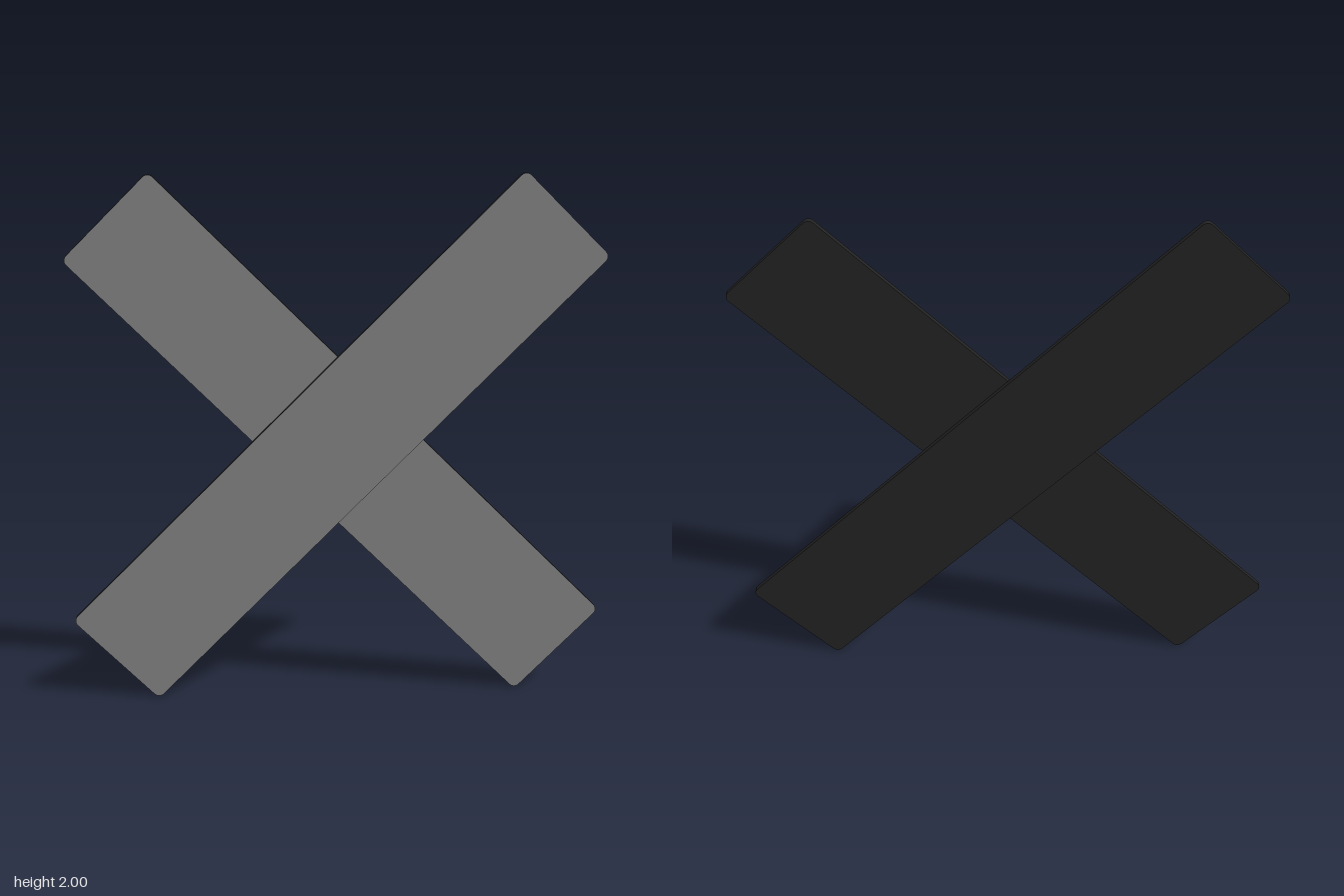
import * as THREE from 'three';

const HALF_LENGTH = 1.202, HALF_WIDTH = 0.2265, RADIUS = 0.025;
const THICKNESS = 0.02, FACE_GAP = 0.0005;

// Rounded rectangle outline of one bar, lying along x
function barOutline() {
  const s = new THREE.Shape();
  const x = HALF_LENGTH - RADIUS, y = HALF_WIDTH - RADIUS;
  [[x, y, 0], [-x, y, 1], [-x, -y, 2], [x, -y, 3]].forEach(([cx, cy, quarter]) => {
    const start = quarter * Math.PI / 2;
    s.absarc(cx, cy, RADIUS, start, start + Math.PI / 2, false);
  });
  s.closePath();
  return s;
}

// Flat dark bar with a lighter front face
function makeBar(name, angle, z) {
  const bar = new THREE.Group();
  bar.name = name;
  const outline = barOutline();

  const body = new THREE.Mesh(
    new THREE.ExtrudeGeometry(outline, { depth: THICKNESS, bevelEnabled: false, curveSegments: 6 }),
    new THREE.MeshStandardMaterial({ color: 0x222222 })
  );
  body.name = name + 'Body';

  const face = new THREE.Mesh(
    new THREE.ShapeGeometry(outline, 6),
    new THREE.MeshStandardMaterial({ color: 0x808080 })
  );
  face.name = name + 'FrontFace';
  face.position.z = THICKNESS + FACE_GAP;

  bar.add(body, face);
  bar.rotation.z = angle;
  bar.position.set(0, 1, z);
  return bar;
}

export function createModel() {
  const model = new THREE.Group();
  model.name = 'crossedBars';
  // Two bars laid one over the other, the rising one in front
  model.add(
    makeBar('frontBar', Math.PI / 4, FACE_GAP),
    makeBar('backBar', -Math.PI / 4, -THICKNESS - FACE_GAP)
  );
  return model;
}
